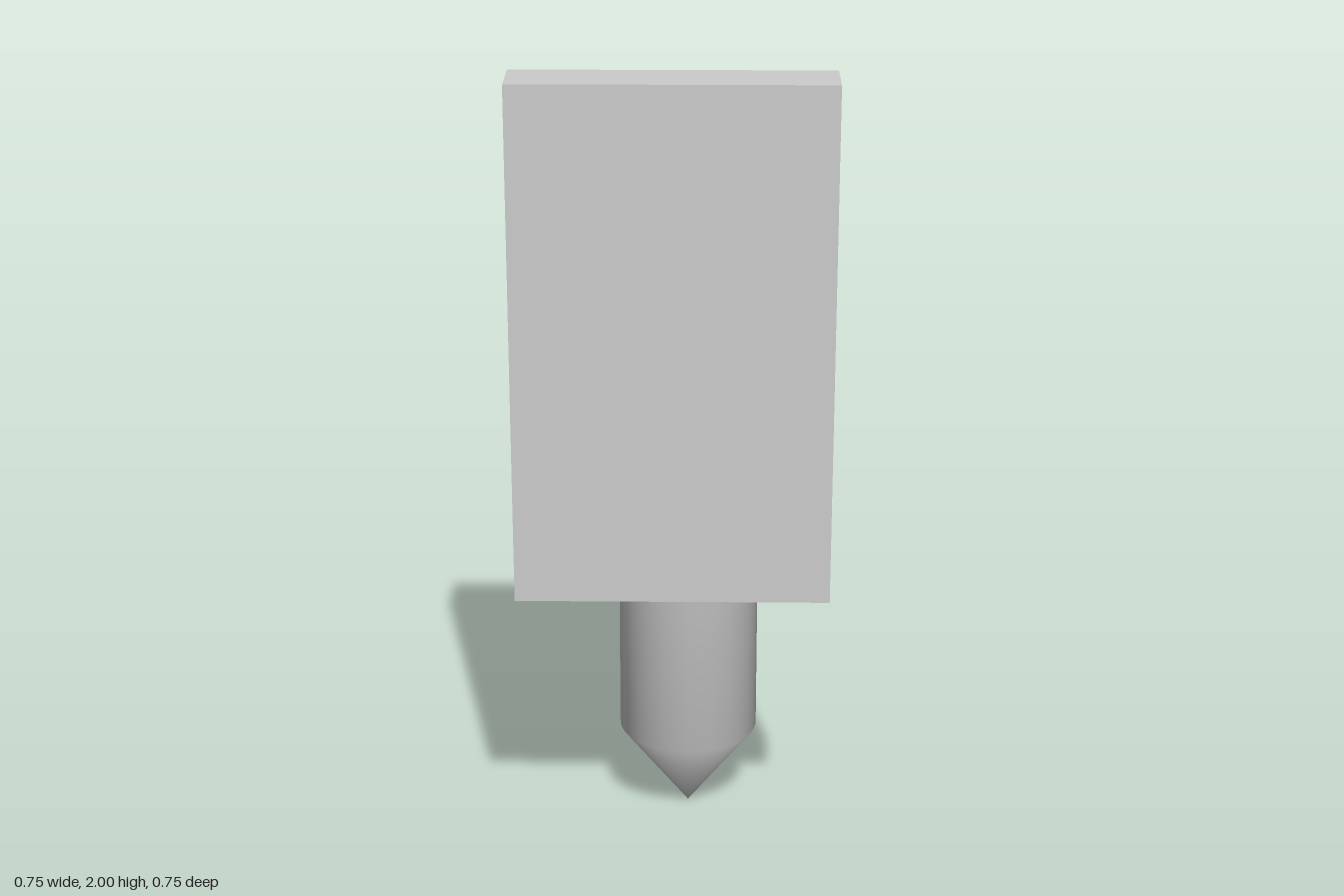
import * as THREE from 'three';
import { toCreasedNormals } from 'three/addons/utils/BufferGeometryUtils.js';

const material = new THREE.MeshStandardMaterial({ color: 0xcccccc });

// Box given by its [min, max] extent on each axis
function slab(name, [x0, x1], [y0, y1], [z0, z1]) {
  const mesh = new THREE.Mesh(new THREE.BoxGeometry(x1 - x0, y1 - y0, z1 - z0), material);
  mesh.name = name;
  mesh.position.set((x0 + x1) / 2, (y0 + y1) / 2, (z0 + z1) / 2);
  return mesh;
}

export function createModel() {
  const model = new THREE.Group();
  model.name = 'pointedPinWithPanel';

  // Upright panel at the front
  model.add(slab('frontPanel', [-0.373, 0.373], [0.757, 2], [0.227, 0.375]));

  // Rectangular collar around the pin
  model.add(slab('collar', [-0.211, 0.278], [0.8, 1.07], [-0.375, 0.21]));

  // Pin: pointed tip, softly blended shoulder, crisp flat top
  const profile = [[0, 0], [0.175, 0.23], [0.175, 1.18], [0, 1.18]].map(([r, y]) => new THREE.Vector2(r, y));
  const pin = new THREE.Mesh(toCreasedNormals(new THREE.LatheGeometry(profile, 48), 0.8), material);
  pin.name = 'pin';
  pin.position.set(0.035, 0, -0.045);
  model.add(pin);

  return model;
}
